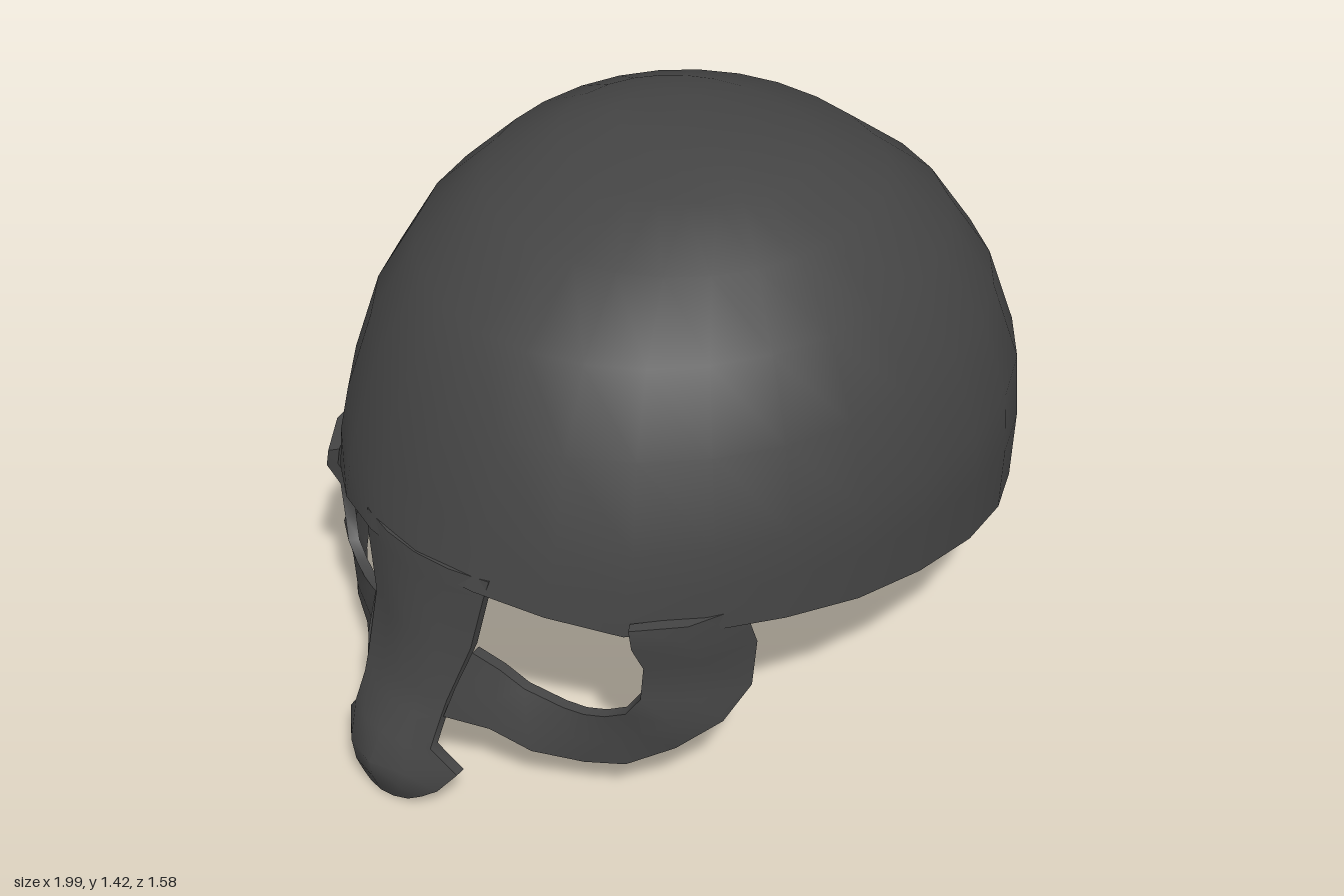
import * as THREE from 'three';
import { toCreasedNormals } from 'three/addons/utils/BufferGeometryUtils.js';

const THICK = 0.028, CX = 0.11;

// Skin rows of equal point counts; every row is a closed loop.
function loft(rows, name, material) {
  const n = rows[0].length, index = [];
  for (let r = 0; r < rows.length - 1; r++) {
    for (let c = 0; c < n; c++) {
      const a = r * n + c, e = r * n + (c + 1) % n;
      index.push(a, a + n, e + n, a, e + n, e);
    }
  }
  const geo = new THREE.BufferGeometry();
  geo.setAttribute('position', new THREE.Float32BufferAttribute(rows.flat(2), 3));
  geo.setIndex(index);
  const mesh = new THREE.Mesh(toCreasedNormals(geo, 0.8), material);
  mesh.name = name;
  return mesh;
}

// Move a point horizontally away from the helmet's axis.
function push([x, y, z], d) {
  const l = Math.hypot(x - CX, z);
  return [x + (x - CX) / l * d, y, z + z / l * d];
}

// Give open rows a thickness and close both ends.
function sheet(rows, name, material) {
  const loops = rows.map(row => [...row, ...row.map(p => push(p, -THICK)).reverse()]);
  const cap = loop => {
    const mid = [0, 1, 2].map(k => loop.reduce((s, p) => s + p[k], 0) / loop.length);
    return loop.map(() => mid);
  };
  return loft([cap(loops[0]), ...loops, cap(loops.at(-1))], name, material);
}

// Piecewise linear lookup in rows sorted by their first value.
function lookup(table, v, k) {
  if (v <= table[0][0]) return table[0][k];
  for (let i = 1; i < table.length; i++) {
    const a = table[i - 1], b = table[i];
    if (v <= b[0]) return a[k] + (b[k] - a[k]) * (v - a[0]) / (b[0] - a[0]);
  }
  return table.at(-1)[k];
}

// height, radius to the face, to the sides, to the back
const DOME = [
  [0.35, 0.93, 0.785, 0.87], [0.62, 0.93, 0.79, 0.89], [0.77, 0.88, 0.785, 0.865],
  [0.98, 0.81, 0.72, 0.79], [1.16, 0.69, 0.62, 0.665], [1.3, 0.5, 0.48, 0.49],
  [1.38, 0.27, 0.33, 0.3], [1.412, 0.12, 0.2, 0.16], [1.42, 0, 0, 0],
];
// x, height of the lower edge
const RIM = [[-0.82, 0.62], [-0.77, 0.61], [-0.64, 0.55], [-0.37, 0.55], [0.13, 0.49], [0.45, 0.44], [0.98, 0.35]];

function domePoint(angle, y, inset) {
  const c = Math.cos(angle), s = Math.sin(angle);
  const rx = Math.max(0, lookup(DOME, y, c < 0 ? 1 : 3) - inset);
  const rz = Math.max(0, lookup(DOME, y, 2) - inset);
  const e = c > 0 ? 0.92 : 1; // the back is slightly squarer
  return [
    CX + rx * Math.sign(c) * Math.abs(c) ** e,
    y - inset * THREE.MathUtils.smoothstep(y, 0.9, 1.4),
    -rz * Math.sign(s) * Math.abs(s) ** e,
  ];
}

function buildDome(material) {
  const N = 28;
  const heights = [1.42, 1.412, 1.38, 1.3, 1.16, 0.98, 0.77];
  const ring = (y, drop, inset) => Array.from({ length: N }, (_, i) => {
    const t = i / N * Math.PI * 2;
    const rim = lookup(RIM, domePoint(t, 0.55, 0)[0], 1);
    return domePoint(t, THREE.MathUtils.lerp(y, rim, drop), inset);
  });
  const shell = inset => [
    ...heights.map(y => ring(y, 0, inset)), ring(0.77, 0.5, inset), ring(0.77, 1, inset),
  ];
  return loft([...shell(0), ...shell(THICK).reverse()], 'dome', material);
}

// Eye guard ribbon: [eye-side point, outer-side point] from temple to nose
const GUARD = [
  [[-0.63, 0.59, 0.52], [-0.37, 0.59, 0.655]],
  [[-0.63, 0.54, 0.53], [-0.36, 0.54, 0.655]],
  [[-0.59, 0.46, 0.53], [-0.33, 0.46, 0.655]],
  [[-0.59, 0.36, 0.52], [-0.34, 0.33, 0.65]],
  [[-0.61, 0.31, 0.49], [-0.43, 0.265, 0.64]],
  [[-0.63, 0.285, 0.44], [-0.52, 0.195, 0.57]],
  [[-0.65, 0.275, 0.39], [-0.6, 0.14, 0.48]],
  [[-0.67, 0.28, 0.34], [-0.65, 0.125, 0.39]],
  [[-0.71, 0.31, 0.25], [-0.73, 0.15, 0.29]],
  [[-0.75, 0.37, 0.21], [-0.79, 0.21, 0.21]],
  [[-0.8, 0.43, 0.17], [-0.87, 0.255, 0.135]],
];

function buildGuard(side, material) {
  const rows = GUARD.map(([eye, out], i) => {
    const mid = push(eye.map((v, k) => (v + out[k]) / 2), i < 5 ? 0.03 : 0.008);
    const row = [eye, mid, out].map(([x, y, z]) => [x, y, z * side]);
    return side > 0 ? row : row.reverse();
  });
  return sheet(rows, side > 0 ? 'leftEyeGuard' : 'rightEyeGuard', material);
}

// Nose plate rows: height, centre x, edge x, half width
const NOSE = [
  [0.65, -0.815, -0.775, 0.21], [0.6, -0.825, -0.785, 0.2], [0.44, -0.85, -0.8, 0.165],
  [0.3, -0.885, -0.86, 0.138], [0.25, -0.91, -0.88, 0.133], [0.18, -0.955, -0.915, 0.133],
  [0.11, -0.998, -0.885, 0.19], [0.06, -0.99, -0.92, 0.155], [0.025, -0.975, -0.94, 0.12],
  [0, -0.965, -0.95, 0.08],
];

function buildNose(material) {
  const rows = NOSE.map(([y, xc, xe, w]) => [-1, -0.5, 0, 0.5, 1].map(t =>
    [xc + (xe - xc) * t * t, y + (y < 0.03 ? 0.01 * t * t : 0), t * w]));
  return sheet(rows, 'nosePlate', material);
}

export function createModel() {
  const group = new THREE.Group();
  group.name = 'helmet';
  const metal = new THREE.MeshStandardMaterial({ color: 0x444444, side: THREE.DoubleSide });
  group.add(buildDome(metal), buildNose(metal), buildGuard(1, metal), buildGuard(-1, metal));
  return group;
}
